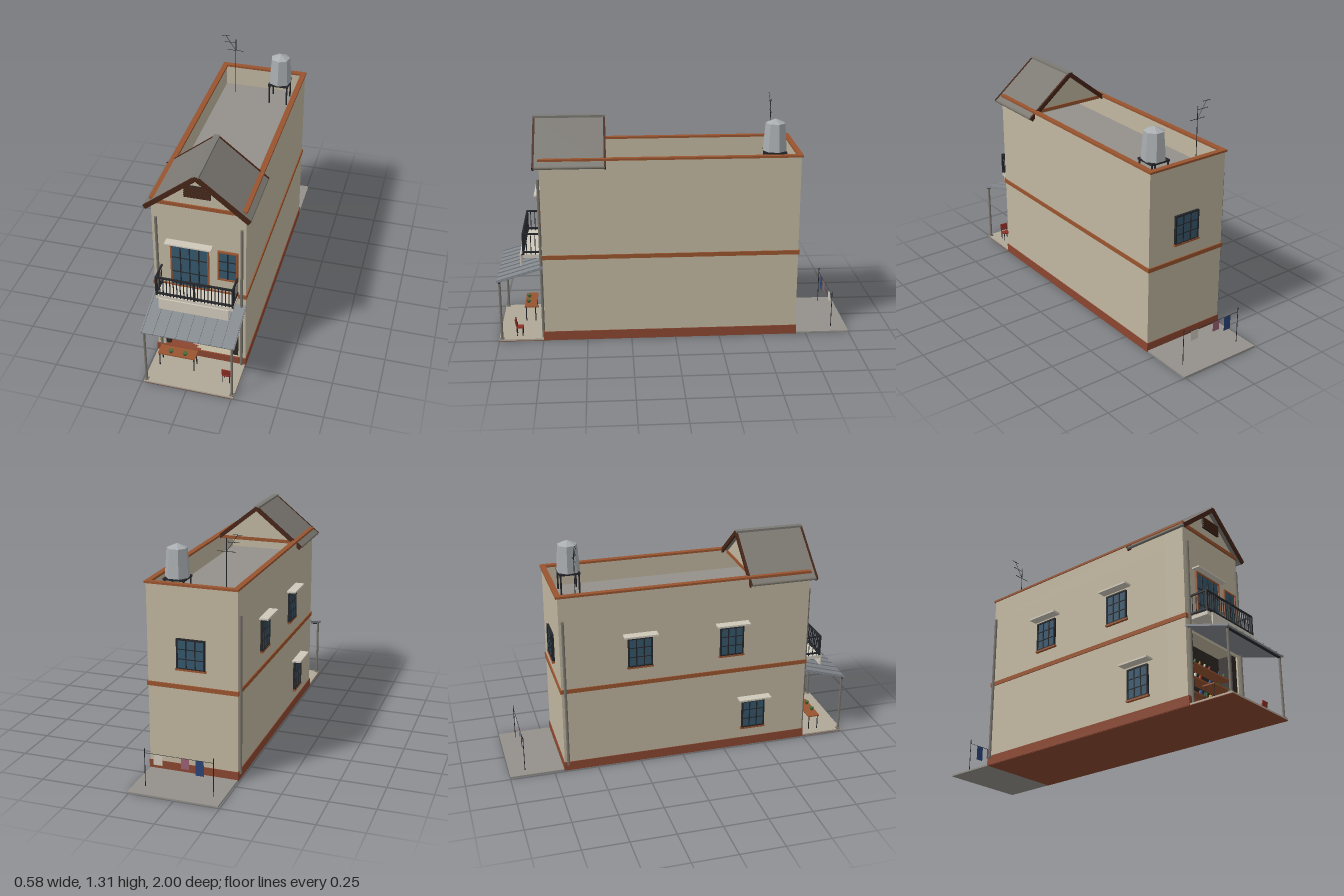
import * as THREE from 'three';

const C = {
  wall: 0xc0b69f, trim: 0x99542f, plinth: 0x8a4630, roof: 0x7c7973, slab: 0x94908a, paving: 0xb0a898,
  dark: 0x2c2725, iron: 0x24262a, brown: 0x452517, glass: 0x35566b, tin: 0x83888d, tank: 0xa9adb0,
  cream: 0xcfc8ba, pipe: 0x77736a, red: 0x8f2f25,
};

const materials = {};
function mat(color, flatShading = false, side = THREE.FrontSide) {
  const key = `${color}${flatShading}${side}`;
  return materials[key] ??= new THREE.MeshStandardMaterial({ color, flatShading, side });
}

function add(parent, name, geometry, material) {
  const mesh = new THREE.Mesh(geometry, material);
  mesh.name = name;
  parent.add(mesh);
  return mesh;
}

// Box given by its limits on each axis
function box(parent, name, color, x0, x1, y0, y1, z0, z1) {
  const mesh = add(parent, name, new THREE.BoxGeometry(x1 - x0, y1 - y0, z1 - z0), mat(color));
  mesh.position.set((x0 + x1) / 2, (y0 + y1) / 2, (z0 + z1) / 2);
  return mesh;
}

// Round bar between two points
function rod(parent, name, color, a, b, r, sides = 6) {
  const p = new THREE.Vector3(...a), q = new THREE.Vector3(...b), d = q.clone().sub(p);
  const mesh = add(parent, name, new THREE.CylinderGeometry(r, r, d.length(), sides), mat(color));
  mesh.position.copy(p).add(q).multiplyScalar(0.5);
  mesh.quaternion.setFromUnitVectors(new THREE.Vector3(0, 1, 0), d.normalize());
  return mesh;
}

function group(parent, name) {
  const g = new THREE.Group();
  g.name = name;
  parent.add(g);
  return g;
}

// Framed window centred on the origin, facing +z
function makeWindow(parent, name, w, h, mullions, bars, frameColor) {
  const g = group(parent, name), x = w / 2, y = h / 2, f = 0.008;
  box(g, 'glass', C.glass, -x, x, -y, y, -0.004, 0.004);
  for (const s of [-1, 1]) {
    box(g, 'frameSide', frameColor, s * x - f / 2, s * x + f / 2, -y, y, -0.004, 0.01);
    box(g, 'frameRail', frameColor, -x - f / 2, x + f / 2, s * y - f / 2, s * y + f / 2, -0.004, 0.01);
  }
  for (let i = 1; i <= mullions; i++) {
    const mx = -x + (w * i) / (mullions + 1);
    box(g, 'mullion', C.iron, mx - 0.003, mx + 0.003, -y, y, 0, 0.008);
  }
  for (let i = 1; i <= bars; i++) {
    const by = -y + (h * i) / (bars + 1);
    box(g, 'crossBar', C.iron, -x, x, by - 0.002, by + 0.002, 0, 0.008);
  }
  return g;
}

function buildShell(root) {
  const g = group(root, 'building');
  box(g, 'rearBlock', C.wall, -0.24, 0.26, 0.01, 0.93, -0.69, 0.62);
  // Front wall with the shop opening
  const s = new THREE.Shape([[-0.24, 0.01], [0.26, 0.01], [0.26, 1.05], [-0.24, 1.05]].map(p => new THREE.Vector2(...p)));
  s.holes.push(new THREE.Path([[-0.195, 0.055], [-0.195, 0.42], [0.22, 0.42], [0.22, 0.055]].map(p => new THREE.Vector2(...p))));
  add(g, 'frontWall', new THREE.ExtrudeGeometry(s, { depth: 0.12, bevelEnabled: false }), mat(C.wall)).position.z = 0.62;
  // Parapet, its coping and the roof deck
  box(g, 'parapetBack', C.wall, -0.24, 0.26, 0.93, 1.05, -0.69, -0.67);
  box(g, 'copingBack', C.trim, -0.246, 0.266, 1.05, 1.062, -0.7, -0.67);
  for (const [a, b, c, d] of [[-0.24, -0.22, -0.246, -0.216], [0.24, 0.26, 0.236, 0.266]]) {
    box(g, 'parapetSide', C.wall, a, b, 0.93, 1.05, -0.67, 0.62);
    box(g, 'copingSide', C.trim, c, d, 1.05, 1.062, -0.7, 0.745);
  }
  box(g, 'roofDeck', C.slab, -0.22, 0.24, 0.93, 0.935, -0.67, 0.62);
  box(g, 'belt', C.trim, -0.246, 0.266, 0.488, 0.512, -0.697, 0.747);
  box(g, 'plinth', C.plinth, -0.244, 0.264, 0.002, 0.055, -0.694, 0.748);
  // Ground
  box(g, 'underside', C.plinth, -0.24, 0.26, 0, 0.003, -0.69, 1);
  box(g, 'yard', C.slab, -0.24, 0.26, 0.001, 0.01, -1, -0.69);
  box(g, 'pavement', C.paving, -0.24, 0.26, 0.003, 0.012, 0.74, 1);
  // Rain pipes
  for (const x of [-0.215, 0.24]) rod(g, 'rainPipe', C.pipe, [x, 0.01, 0.75], [x, 0.945, 0.75], 0.008, 8);
  rod(g, 'rainPipe', C.pipe, [-0.25, 0.04, -0.67], [-0.25, 0.92, -0.67], 0.008, 8);
}

function buildGable(root) {
  const g = group(root, 'gableRoof');
  g.position.x = 0.01;
  const tri = new THREE.Shape([[-0.215, 1.05], [0.215, 1.05], [0, 1.222]].map(p => new THREE.Vector2(...p)));
  add(g, 'gable', new THREE.ExtrudeGeometry(tri, { depth: 0.33, bevelEnabled: false }), mat(C.wall)).position.z = 0.412;
  box(g, 'cornice', C.trim, -0.252, 0.248, 1.032, 1.052, 0.408, 0.75);
  for (const s of [-1, 1]) {
    const slope = group(g, 'roofSlope');
    slope.position.set(s * 0.137, 1.128, 0);
    slope.rotation.z = -s * 0.678;
    box(slope, 'sheet', C.roof, -0.175, 0.175, -0.006, 0.008, 0.38, 0.772);
    for (const z of [0.377, 0.765]) box(slope, 'bargeBoard', C.brown, -0.178, 0.178, -0.014, 0.01, z, z + 0.012);
    rod(g, 'eaveGutter', C.pipe, [s * 0.272, 1.02, 0.382], [s * 0.272, 1.02, 0.77], 0.009, 8);
  }
  box(g, 'ridgeCap', C.roof, -0.016, 0.016, 1.232, 1.248, 0.378, 0.775);
  // Louvred vent
  box(g, 'vent', C.dark, -0.07, 0.07, 1.103, 1.17, 0.74, 0.75);
  for (let i = 0; i < 6; i++)
    box(g, 'louvre', C.brown, -0.07, 0.07, 1.104 + i * 0.0115, 1.109 + i * 0.0115, 0.748, 0.756);
}

function buildWindows(root) {
  const g = group(root, 'windows');
  makeWindow(g, 'balconyDoor', 0.2, 0.28, 3, 2, C.trim).position.set(-0.04, 0.652, 0.743);
  makeWindow(g, 'frontWindow', 0.1, 0.18, 1, 2, C.trim).position.set(0.165, 0.692, 0.743);
  box(g, 'doorCanopy', C.cream, -0.165, 0.085, 0.8, 0.808, 0.74, 0.785);
  const back = makeWindow(g, 'backWindow', 0.15, 0.16, 2, 2, C.iron);
  back.position.set(0.015, 0.685, -0.694);
  back.rotation.y = Math.PI;
  box(g, 'backSill', C.trim, -0.07, 0.1, 0.595, 0.605, -0.706, -0.69);
  // Side windows with sills and slab canopies
  for (const [y, z] of [[0.69, -0.245], [0.69, 0.285], [0.21, 0.425]]) {
    const w = makeWindow(g, 'sideWindow', 0.13, 0.165, 2, 2, C.iron);
    w.position.set(-0.244, y, z);
    w.rotation.y = -Math.PI / 2;
    box(g, 'sideSill', C.trim, -0.255, -0.24, y - 0.095, y - 0.085, z - 0.075, z + 0.075);
    box(g, 'sideCanopy', C.cream, -0.292, -0.24, y + 0.103, y + 0.113, z - 0.095, z + 0.095);
  }
}

function buildBalcony(root) {
  const g = group(root, 'balcony');
  box(g, 'floor', C.cream, -0.2, 0.22, 0.486, 0.506, 0.74, 0.85);
  box(g, 'signBoard', C.cream, -0.18, 0.2, 0.432, 0.5, 0.86, 0.868);
  for (const x of [-0.15, 0.17]) box(g, 'signBracket', C.iron, x - 0.003, x + 0.003, 0.484, 0.49, 0.84, 0.862);
  for (const y of [0.52, 0.625]) {
    box(g, 'frontRail', C.iron, -0.2, 0.22, y - 0.004, y + 0.005, 0.841, 0.851);
    for (const x of [-0.196, 0.216]) box(g, 'sideRail', C.iron, x - 0.004, x + 0.004, y - 0.004, y + 0.005, 0.74, 0.85);
  }
  for (let i = 0; i <= 22; i++) {
    const x = -0.196 + (0.412 * i) / 22, r = i % 11 ? 0.0022 : 0.005;
    box(g, 'baluster', C.iron, x - r, x + r, 0.506, 0.63, 0.846 - r, 0.846 + r);
  }
  for (const x of [-0.196, 0.216])
    for (let i = 0; i < 4; i++) rod(g, 'sideBaluster', C.iron, [x, 0.506, 0.755 + i * 0.024], [x, 0.626, 0.755 + i * 0.024], 0.0022);
}

function buildAwning(root) {
  const g = group(root, 'awning');
  const sheet = group(g, 'awningSheet');
  sheet.position.set(0.01, 0.4, 0.868);
  sheet.rotation.x = 0.288;
  box(sheet, 'panel', C.tin, -0.255, 0.255, -0.004, 0.003, -0.136, 0.136);
  for (let i = 0; i < 9; i++) {
    const x = -0.248 + i * 0.062;
    box(sheet, 'rib', C.tin, x - 0.003, x + 0.003, 0.003, 0.009, -0.136, 0.136);
  }
  box(g, 'frontBeam', C.iron, -0.235, 0.255, 0.35, 0.36, 0.98, 0.99);
  for (const x of [-0.228, 0.248]) {
    rod(g, 'post', C.pipe, [x, 0.01, 0.984], [x, 0.36, 0.984], 0.007, 8);
    box(g, 'postFoot', C.pipe, x - 0.011, x + 0.011, 0.01, 0.018, 0.973, 0.995);
  }
}

function buildShop(root) {
  const g = group(root, 'shop');
  box(g, 'backPanel', C.dark, -0.195, 0.22, 0.055, 0.42, 0.62, 0.645);
  for (const [a, b] of [[-0.195, -0.17], [0.18, 0.22]]) box(g, 'sidePanel', C.dark, a, b, 0.055, 0.42, 0.645, 0.73);
  const goods = [0xb03a2e, 0xd8d2c4, 0xc98a2b, 0x3f7a4a, 0x34508c, 0xb8963a];
  [0.112, 0.195, 0.275].forEach((y, row) => {
    box(g, 'shelf', C.trim, -0.17, 0.18, y - 0.004, y + 0.004, 0.645, 0.715);
    for (let i = 0; i < 8; i++) {
      if ((i * 3 + row) % 7 === 3) continue;
      const item = add(g, 'goods', new THREE.CylinderGeometry(0.009 - row * 0.002, 0.012 - row * 0.003, 0.036, 6),
        mat(goods[(i * 5 + row * 2) % 6], true));
      item.position.set(-0.15 + i * 0.043, y + 0.021, 0.69);
      item.rotation.z = -0.35;
    }
  });
  // Table with bowls, and a small chair
  const t = group(root, 'table');
  box(t, 'tableTop', C.trim, -0.2, 0.01, 0.098, 0.105, 0.8, 0.87);
  for (const x of [-0.192, 0.002]) for (const z of [0.808, 0.862]) rod(t, 'tableLeg', C.iron, [x, 0.01, z], [x, 0.1, z], 0.003);
  for (const x of [-0.13, -0.05]) add(t, 'bowl', new THREE.CylinderGeometry(0.014, 0.008, 0.018, 8), mat(0x4a6a3a)).position.set(x, 0.114, 0.85);
  const c = group(root, 'chair');
  box(c, 'seat', C.red, 0.172, 0.218, 0.058, 0.064, 0.865, 0.905);
  box(c, 'backrest', C.red, 0.172, 0.218, 0.072, 0.112, 0.904, 0.91).rotation.x = 0.15;
  for (const x of [0.176, 0.214]) for (const z of [0.869, 0.902]) rod(c, 'chairLeg', C.iron, [x, 0.01, z], [x, z > 0.9 ? 0.08 : 0.06, z], 0.0025);
}

function buildRooftopAndYard(root) {
  // Water tank on a stand
  const t = group(root, 'waterTank');
  t.position.set(0.135, 0, -0.56);
  add(t, 'tankBody', new THREE.CylinderGeometry(0.056, 0.068, 0.155, 7), mat(C.tank, true)).position.y = 1.138;
  add(t, 'tankLid', new THREE.ConeGeometry(0.056, 0.024, 7), mat(C.tank, true)).position.y = 1.2275;
  box(t, 'standTop', C.iron, -0.06, 0.06, 1.05, 1.06, -0.06, 0.06);
  for (const x of [-0.052, 0.052]) for (const z of [-0.052, 0.052]) rod(t, 'standLeg', C.iron, [x, 0.93, z], [x, 1.055, z], 0.005);
  // Aerial
  const a = group(root, 'aerial');
  rod(a, 'mast', C.iron, [-0.14, 0.93, -0.575], [-0.14, 1.29, -0.575], 0.002);
  rod(a, 'boom', C.iron, [-0.2, 1.31, -0.575], [-0.14, 1.22, -0.575], 0.0012);
  for (const [x0, x1, y] of [[-0.225, -0.175, 1.31], [-0.21, -0.14, 1.27], [-0.19, -0.09, 1.22]])
    rod(a, 'aerialElement', C.iron, [x0, y, -0.575], [x1, y, -0.575], 0.0015);
  // Washing line
  const w = group(root, 'washingLine');
  for (const x of [-0.185, 0.195]) rod(w, 'linePost', C.iron, [x, 0.01, -0.91], [x, 0.225, -0.91], 0.002);
  rod(w, 'line', C.iron, [-0.185, 0.2, -0.91], [0.195, 0.2, -0.91], 0.0012);
  for (const [x, width, h, color] of [[-0.11, 0.045, 0.085, 0x2b4378], [-0.03, 0.045, 0.06, 0x9a6074], [0.12, 0.05, 0.06, C.cream]])
    add(w, 'cloth', new THREE.PlaneGeometry(width, h), mat(color, false, THREE.DoubleSide)).position.set(x, 0.2 - h / 2, -0.91);
}

export function createModel() {
  const root = new THREE.Group();
  root.name = 'shophouse';
  for (const build of [buildShell, buildGable, buildWindows, buildBalcony, buildAwning, buildShop, buildRooftopAndYard]) build(root);
  return root;
}
